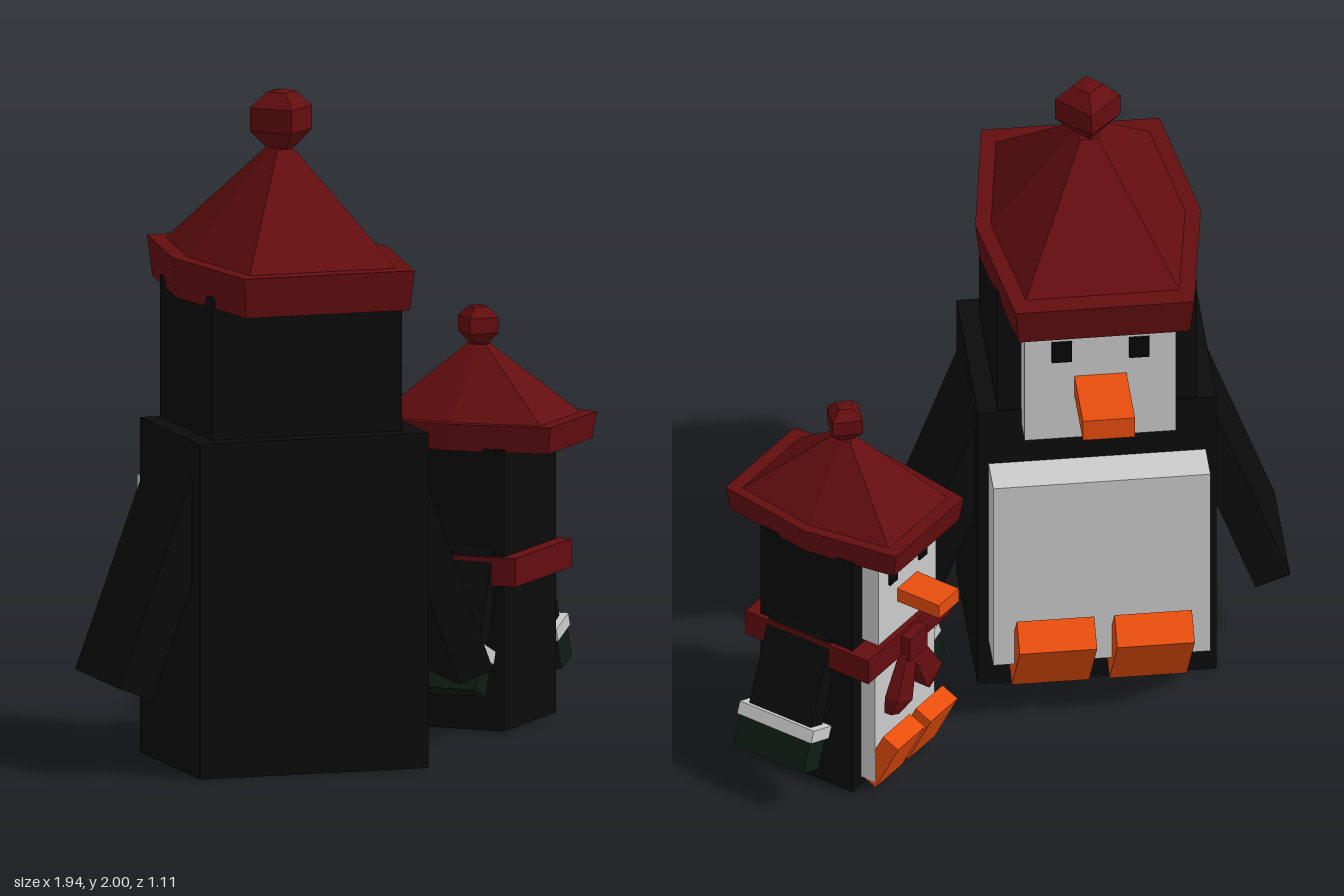
import * as THREE from 'three';

const mat = (color) => new THREE.MeshStandardMaterial({ color, flatShading: true });
const BLACK = mat(0x0b0b0b), RED = mat(0x640d10), ORANGE = mat(0xe84d0c);
const WHITE = mat(0xcccccc), GREEN = mat(0x0e1c15), EYE = mat(0x060606);

function add(parent, name, geometry, material, x, y, z) {
  const mesh = new THREE.Mesh(geometry, material);
  mesh.name = name;
  mesh.position.set(x, y, z);
  parent.add(mesh);
  return mesh;
}
const box = (parent, name, material, [w, h, d], [x, y, z]) =>
  add(parent, name, new THREE.BoxGeometry(w, h, d), material, x, y, z);

function group(parent, name, x, y, z) {
  const g = new THREE.Group();
  g.name = name;
  g.position.set(x, y, z);
  parent.add(g);
  return g;
}

// Stack of scaled copies of one outline, closed at both ends; rings are [scale, y]
function loft(outline, rings) {
  const pos = [], n = outline.length;
  const at = ([s, y], i) => [outline[i % n][0] * s, y, outline[i % n][1] * s];
  for (let i = 0; i < n; i++) {
    for (let r = 0; r < rings.length - 1; r++) {
      const a = at(rings[r], i), b = at(rings[r], i + 1);
      const c = at(rings[r + 1], i), d = at(rings[r + 1], i + 1);
      pos.push(...a, ...c, ...b, ...b, ...c, ...d);
    }
    const low = rings[0], top = rings[rings.length - 1];
    pos.push(...at(low, i), ...at(low, i + 1), 0, low[1], 0);
    pos.push(...at(top, i + 1), ...at(top, i), 0, top[1], 0);
  }
  const geo = new THREE.BufferGeometry();
  geo.setAttribute('position', new THREE.Float32BufferAttribute(pos, 3));
  geo.computeVertexNormals();
  return geo;
}

// Six-sided hat, longer front to back, with brim and bobble
function addHat(parent, y, z, scale) {
  const hat = group(parent, 'hat', 0, y, z);
  hat.scale.setScalar(scale);
  const outline = [[0.335, 0.01], [0.265, 0.457], [-0.265, 0.457], [-0.335, 0.01], [-0.265, -0.457], [0.265, -0.457]];
  add(hat, 'brim', loft(outline, [[0.96, 0], [1, 0.12], [0.86, 0.12]]), RED, 0, 0, 0);
  add(hat, 'crown', loft(outline, [[0.86, 0.12], [0.1, 0.435]]), RED, 0, 0, 0);
  const profile = [[0, -0.09], [0.045, -0.085], [0.097, -0.035], [0.097, 0.035], [0.045, 0.08], [0, 0.088]];
  const bobble = new THREE.LatheGeometry(profile.map((p) => new THREE.Vector2(...p)), 4);
  add(hat, 'bobble', bobble, RED, 0, 0.522, 0);
}

// White face plate, eyes and beak; origin at the beak height
function addFace(parent, y, z, scale) {
  const face = group(parent, 'face', 0, y, z);
  face.scale.setScalar(scale);
  box(face, 'facePlate', WHITE, [0.45, 0.46, 0.12], [0, 0.04, 0.275]);
  box(face, 'beak', ORANGE, [0.155, 0.07, 0.24], [0, 0, 0.44]);
  for (const s of [-1, 1]) box(face, 'eye', EYE, [0.06, 0.07, 0.03], [s * 0.115, 0.13, 0.33]);
}

// Foot plates leaning forward, soles facing outward
function addFeet(parent, size, x, y, z, tilt) {
  for (const s of [-1, 1]) box(parent, 'foot', ORANGE, size, [s * x, y, z]).rotation.x = tilt;
}

function bigBird() {
  const bird = new THREE.Group();
  bird.name = 'largePenguin';
  box(bird, 'body', BLACK, [0.71, 1, 0.56], [0, 0.5, -0.015]);
  box(bird, 'head', BLACK, [0.59, 0.45, 0.49], [0, 1.2, 0.015]);
  box(bird, 'belly', WHITE, [0.645, 0.65, 0.16], [0, 0.485, 0.31]);
  addFace(bird, 1.14, 0.015, 1);
  addHat(bird, 1.39, 0.015, 1);
  for (const s of [-1, 1]) {
    box(bird, 'wing', BLACK, [0.11, 0.7, 0.41], [s * 0.41, 0.58, -0.015]).rotation.z = s * 0.35;
  }
  addFeet(bird, [0.23, 0.345, 0.1], 0.145, 0.196, 0.385, 0.67);
  return bird;
}

function smallBird() {
  const bird = new THREE.Group();
  bird.name = 'smallPenguin';
  box(bird, 'body', BLACK, [0.4, 0.84, 0.33], [0, 0.43, 0]);
  box(bird, 'belly', WHITE, [0.31, 0.44, 0.08], [0, 0.26, 0.175]);
  addFace(bird, 0.67, 0, 0.667);
  addHat(bird, 0.84, 0, 0.667);

  // Scarf with a knot and two tails
  const scarf = group(bird, 'scarf', 0, 0.487, 0);
  box(scarf, 'wrap', RED, [0.43, 0.085, 0.44], [0, 0, 0.012]);
  box(scarf, 'knot', RED, [0.09, 0.08, 0.05], [0, -0.01, 0.24]);
  const tail = loft([[0.04, 0], [0.04, 0.04], [-0.04, 0.04], [-0.04, 0]], [[0.6, -0.23], [1.1, -0.18], [0.6, 0]]);
  for (const s of [-1, 1]) add(scarf, 'tail', tail, RED, 0, -0.01, 0.225).rotation.z = s * 0.45;

  // Wings ending in cuffed mittens
  for (const s of [-1, 1]) {
    const wing = group(bird, 'wing', s * 0.33, 0.14, -0.02);
    wing.rotation.z = s * 0.38;
    box(wing, 'sleeve', BLACK, [0.065, 0.32, 0.22], [0, 0.29, 0]);
    box(wing, 'cuff', WHITE, [0.1, 0.04, 0.265], [0, 0.12, 0]);
    box(wing, 'mitten', GREEN, [0.085, 0.11, 0.25], [0, 0.055, 0]);
  }
  addFeet(bird, [0.14, 0.19, 0.06], 0.085, 0.12, 0.23, 0.44);
  return bird;
}

export function createModel() {
  const model = new THREE.Group();
  model.name = 'penguinPair';
  const big = bigBird(), small = smallBird();
  big.position.set(-0.338, 0, 0.04);
  big.rotation.y = THREE.MathUtils.degToRad(152);
  small.position.set(0.585, 0, -0.042);
  small.rotation.y = THREE.MathUtils.degToRad(201);
  model.add(big, small);
  return model;
}
